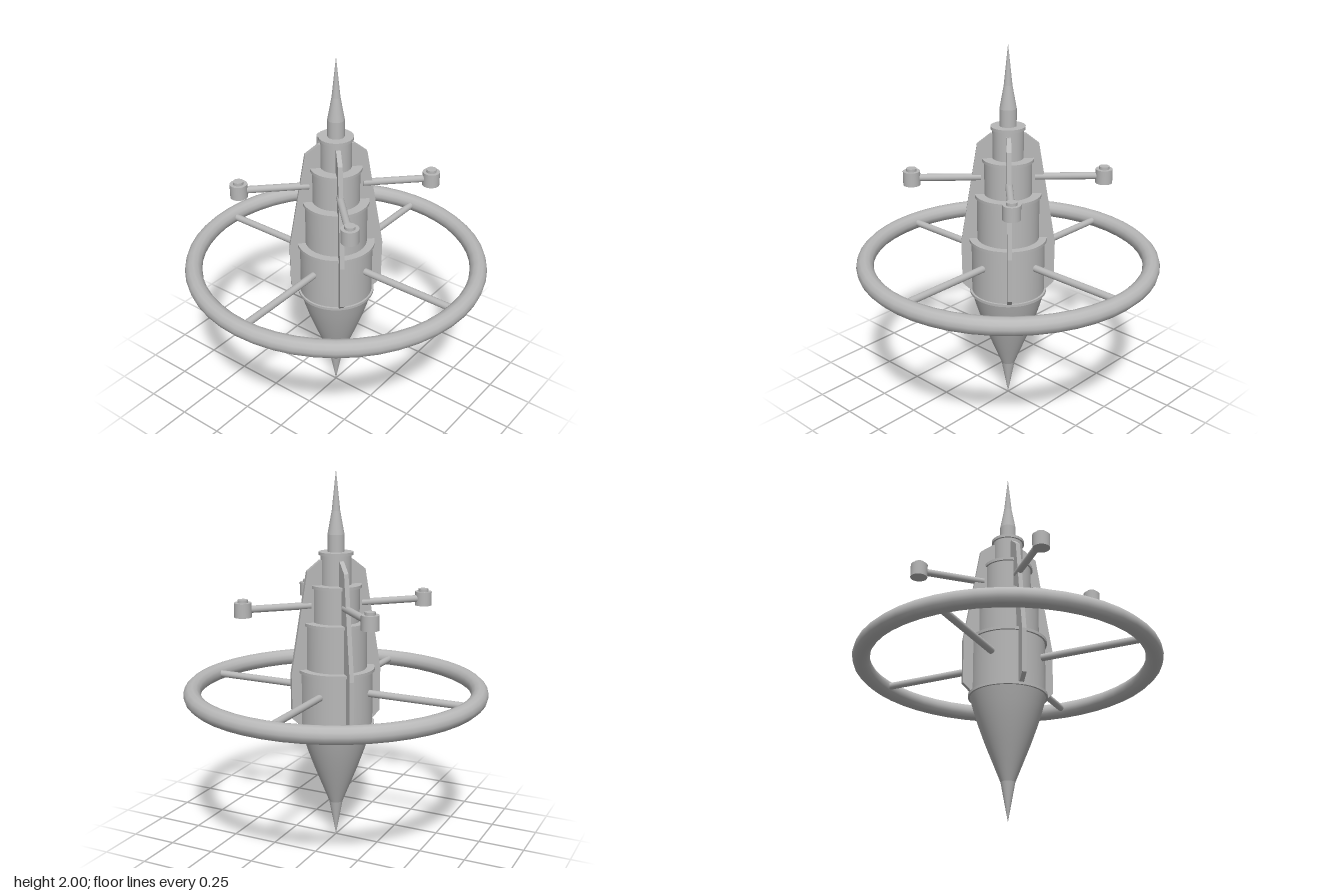
import * as THREE from 'three';

export function createModel() {
  const model = new THREE.Group();
  model.name = 'spaceStation';
  const grey = new THREE.MeshStandardMaterial({ color: 0xb8b8b8 });
  grey.name = 'hull grey';

  const add = (name, geometry, parent = model) => {
    const mesh = new THREE.Mesh(geometry, grey);
    mesh.name = name;
    parent.add(mesh);
    return mesh;
  };
  // Upright cylinder between two heights
  const drum = (name, r, y0, y1, parent = model, seg = 48) => {
    const mesh = add(name, new THREE.CylinderGeometry(r, r, y1 - y0, seg), parent);
    mesh.position.y = (y0 + y1) / 2;
    return mesh;
  };
  // Rod lying along x between two radii
  const rod = (name, r, x0, x1, y, parent) => {
    const geometry = new THREE.CylinderGeometry(r, r, x1 - x0, 16).rotateZ(Math.PI / 2);
    add(name, geometry, parent).position.set((x0 + x1) / 2, y, 0);
  };
  const lathe = (name, points) =>
    add(name, new THREE.LatheGeometry(points.map(p => new THREE.Vector2(...p)), 48));

  // Keel: needle tip and curved lower cone
  lathe('keelTip', [[0, 0], [0.037, 0.2]]);
  lathe('keelCone', [[0.037, 0.2], [0.077, 0.3], [0.117, 0.4], [0.153, 0.5], [0.178, 0.58], [0.197, 0.65]]);
  drum('keelRim', 0.207, 0.648, 0.662);

  // Stepped tower, each tier with an overhanging lip
  const tiers = [
    [0.196, 0.655, 0.965, 0.207],
    [0.165, 0.95, 1.215, 0.175],
    [0.125, 1.2, 1.41, 0.135],
    [0.081, 1.4, 1.58, 0.09],
  ];
  tiers.forEach(([r, y0, y1, lip], i) => {
    drum(`tier${i + 1}`, r, y0, y1 - 0.008);
    drum(`tierLip${i + 1}`, lip, y1 - 0.016, y1);
  });

  // Spire
  drum('spireBase', 0.044, 1.57, 1.67, model, 32);
  lathe('spireTaper', [[0.044, 1.67], [0.022, 1.79]]);
  lathe('spireTip', [[0.022, 1.79], [0, 2]]);

  // Ring and its four spokes
  add('ring', new THREE.TorusGeometry(0.765, 0.046, 12, 48).rotateX(Math.PI / 2)).position.y = 0.84;
  for (let i = 0; i < 4; i++) {
    const spoke = new THREE.Group();
    spoke.name = 'spoke';
    spoke.rotation.y = i * Math.PI / 2;
    rod('spokeRod', 0.019, 0.15, 0.755, 0.84, spoke);
    model.add(spoke);
  }

  // Diagonal fins, each with an arm and a pod
  const finShape = new THREE.Shape([
    [0.05, 0.66], [0.205, 0.66], [0.247, 0.7], [0.25, 0.94], [0.16, 1.485], [0.09, 1.54], [0.05, 1.54],
  ].map(p => new THREE.Vector2(...p)));
  const finGeometry = new THREE.ExtrudeGeometry(finShape, { depth: 0.024, bevelEnabled: false })
    .translate(0, 0, -0.012);
  for (let i = 0; i < 4; i++) {
    const quarter = new THREE.Group();
    quarter.name = 'finAndArm';
    quarter.rotation.y = Math.PI / 4 + i * Math.PI / 2;
    add('fin', finGeometry, quarter);
    rod('arm', 0.019, 0.14, 0.48, 1.305, quarter);
    const pod = new THREE.Group();
    pod.name = 'pod';
    pod.position.x = 0.5;
    drum('podBody', 0.045, 1.267, 1.342, pod, 24);
    drum('podCap', 0.027, 1.34, 1.357, pod, 24);
    quarter.add(pod);
    model.add(quarter);
  }
  return model;
}
